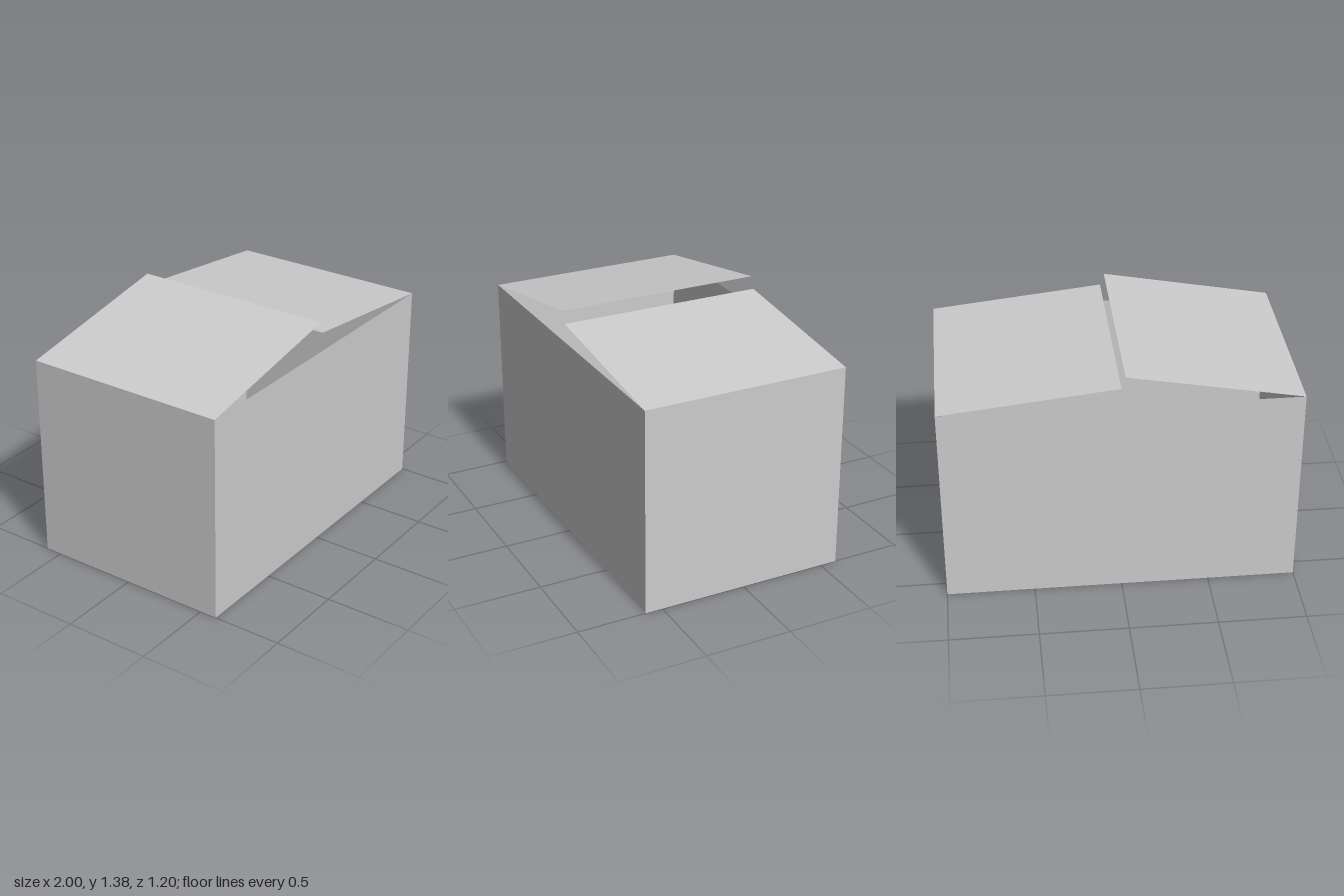
import * as THREE from 'three';

const WIDTH = 2, HEIGHT = 1.2, DEPTH = 1.2, FLAP = 1;

export function createModel() {
  const group = new THREE.Group();
  group.name = 'openBox';
  const card = new THREE.MeshStandardMaterial({ color: 0xcccccc, side: THREE.DoubleSide });
  card.name = 'grey card';

  // A thin sheet, facing +z before it is turned
  function panel(name, w, h, position, rx = 0, ry = 0) {
    const mesh = new THREE.Mesh(new THREE.PlaneGeometry(w, h), card);
    mesh.name = name;
    mesh.position.set(...position);
    mesh.rotation.set(rx, ry, 0);
    group.add(mesh);
  }

  // Bottom and four walls; the top is open
  panel('bottom', WIDTH, DEPTH, [0, 0, 0], Math.PI / 2);
  panel('frontWall', WIDTH, HEIGHT, [0, HEIGHT / 2, DEPTH / 2]);
  panel('backWall', WIDTH, HEIGHT, [0, HEIGHT / 2, -DEPTH / 2], 0, Math.PI);
  panel('leftWall', DEPTH, HEIGHT, [WIDTH / 2, HEIGHT / 2, 0], 0, Math.PI / 2);
  panel('rightWall', DEPTH, HEIGHT, [-WIDTH / 2, HEIGHT / 2, 0], 0, -Math.PI / 2);

  // Lid flaps hinged on the side walls, each lifted by its own amount
  for (const [name, side, rise] of [['leftFlap', 1, 0.11], ['rightFlap', -1, 0.18]]) {
    const sheet = new THREE.PlaneGeometry(FLAP, DEPTH);
    sheet.rotateX(-Math.PI / 2);
    sheet.translate(-side * FLAP / 2, 0, 0);
    const flap = new THREE.Mesh(sheet, card);
    flap.name = name;
    flap.position.set(side * WIDTH / 2, HEIGHT, 0);
    flap.rotation.z = -side * Math.asin(rise / FLAP);
    group.add(flap);
  }
  return group;
}
